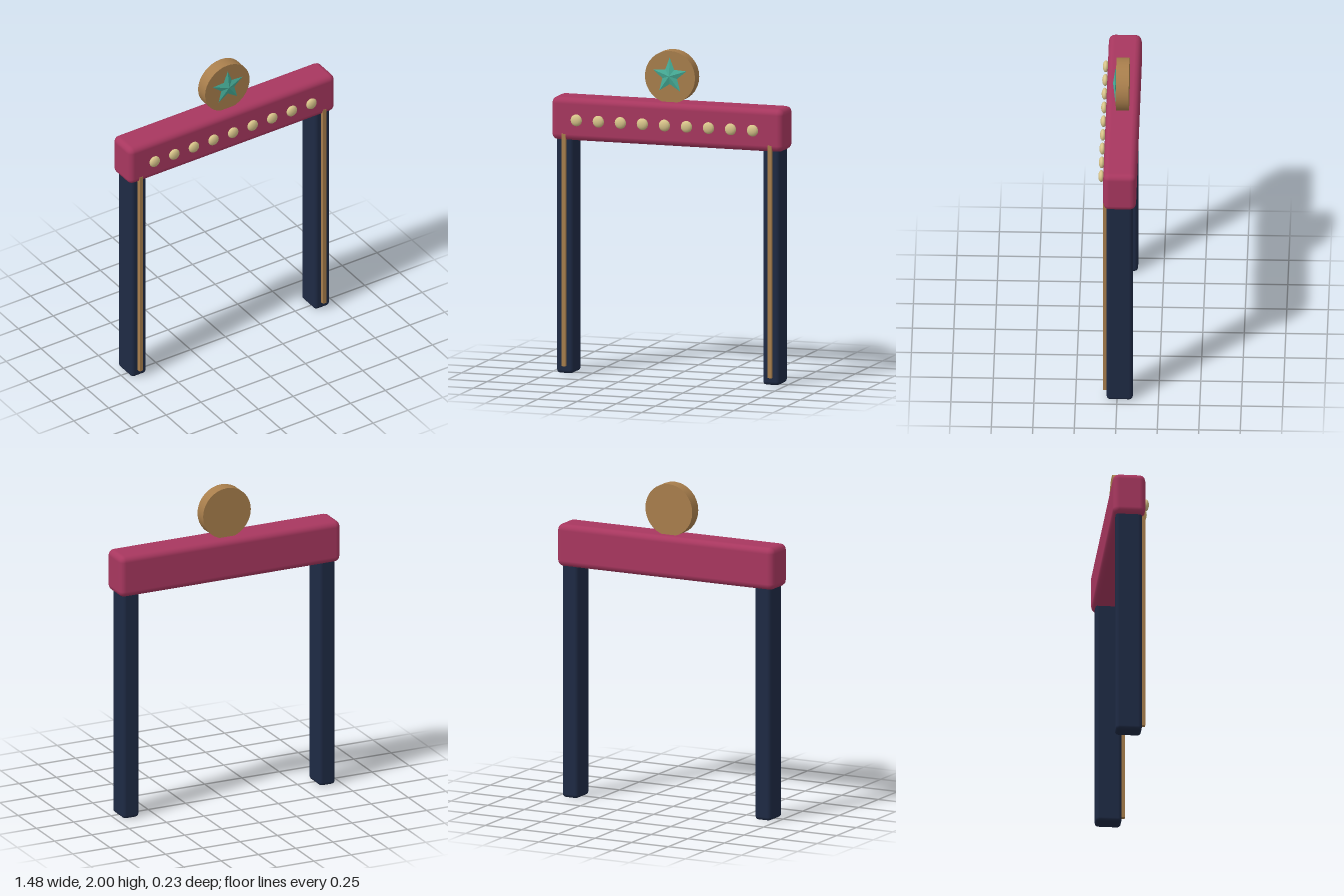
import * as THREE from 'three';
import { RoundedBoxGeometry } from 'three/addons/geometries/RoundedBoxGeometry.js';

const paint = (color, flatShading = false) => new THREE.MeshStandardMaterial({ color, flatShading });

// Faceted five-pointed star: rim of alternating radii with a raised centre on both sides
function starGeometry(outer, inner, depth) {
  const rim = [];
  for (let i = 0; i < 10; i++) {
    const a = Math.PI / 2 + (i * Math.PI) / 5;
    const r = i % 2 ? inner : outer;
    rim.push([Math.cos(a) * r, Math.sin(a) * r, 0]);
  }
  const pos = [];
  for (let i = 0; i < 10; i++) {
    const a = rim[i], b = rim[(i + 1) % 10];
    pos.push(...a, ...b, 0, 0, depth, ...b, ...a, 0, 0, -depth);
  }
  const geo = new THREE.BufferGeometry();
  geo.setAttribute('position', new THREE.Float32BufferAttribute(pos, 3));
  geo.computeVertexNormals();
  return geo;
}

export function createModel() {
  const group = new THREE.Group();
  const wine = paint(0xa8375f);
  const navy = paint(0x1e2a44);
  const bronze = paint(0xa87e4c);
  const cream = paint(0xd8c48a);
  const teal = paint(0x48b09a, true);

  const add = (name, geometry, material, x, y, z) => {
    const mesh = new THREE.Mesh(geometry, material);
    mesh.name = name;
    mesh.position.set(x, y, z);
    group.add(mesh);
    return mesh;
  };

  // Crossbeam
  add('crossbeam', new RoundedBoxGeometry(1.48, 0.262, 0.198, 2, 0.038), wine, 0, 1.557, -0.016);

  // Posts with a thin trim strip down the front
  const postGeo = new RoundedBoxGeometry(0.108, 1.5, 0.158, 2, 0.022);
  const stripGeo = new THREE.BoxGeometry(0.025, 1.42, 0.025);
  for (const [side, s] of [['left', 1], ['right', -1]]) {
    add(side + 'Post', postGeo, navy, s * 0.658, 0.75, -0.016);
    add(side + 'TrimStrip', stripGeo, bronze, s * 0.658, 0.757, 0.073);
  }

  // Row of flattened bulbs
  const bulbGeo = new THREE.SphereGeometry(0.036, 16, 12).scale(1, 1, 0.52);
  for (let i = 0; i < 9; i++) {
    add('bulb' + (i + 1), bulbGeo, cream, -0.571 + i * 0.1406, 1.556, 0.098);
  }

  // Medallion and star on top
  const discGeo = new THREE.CylinderGeometry(0.16, 0.16, 0.078, 32).rotateX(Math.PI / 2);
  add('medallion', discGeo, bronze, 0, 1.84, -0.018);
  add('star', starGeometry(0.113, 0.049, 0.015), teal, 0, 1.847, 0.026);

  return group;
}
